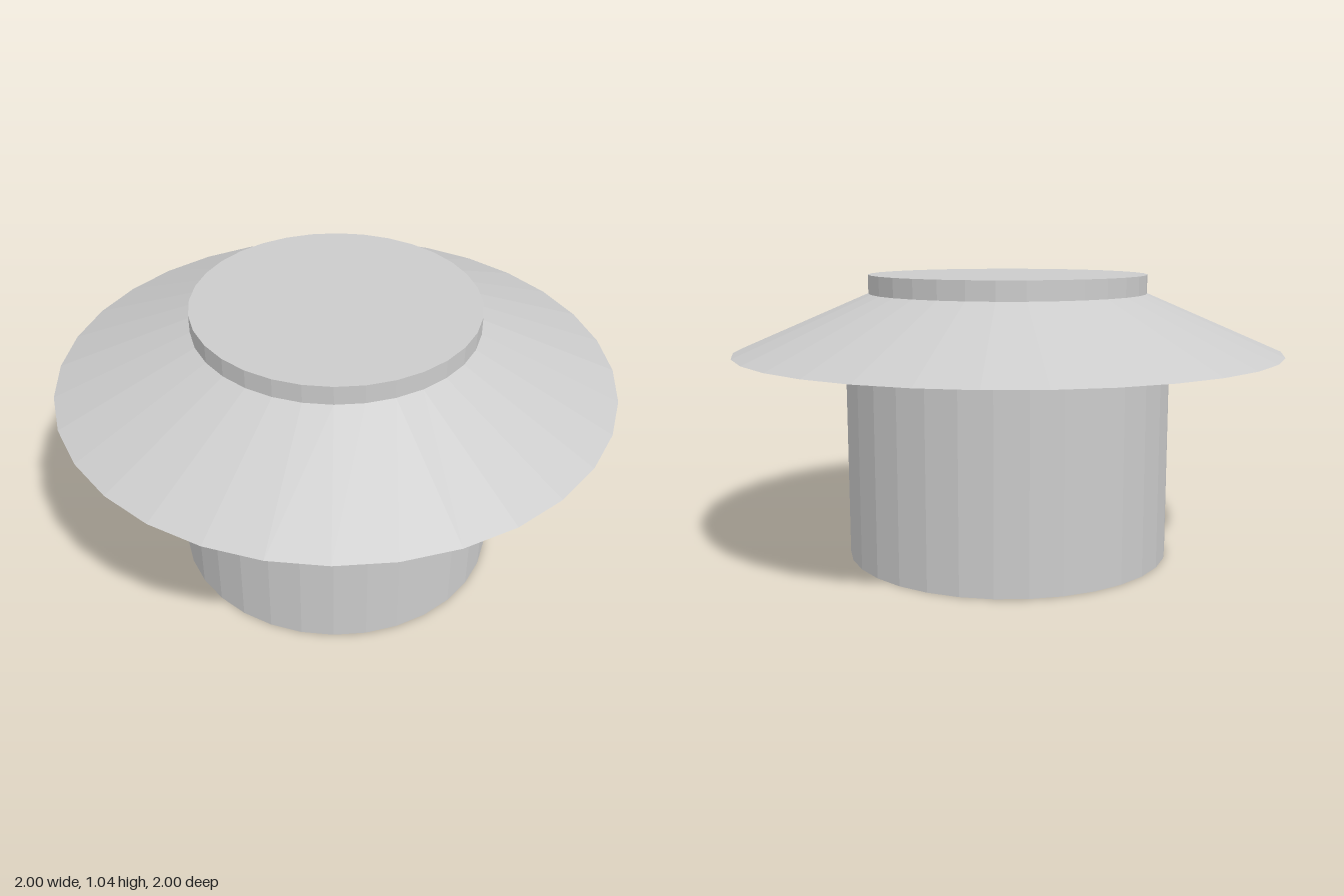
import * as THREE from 'three';

const SIDES = 32;

export function createModel() {
  const group = new THREE.Group();
  const material = new THREE.MeshStandardMaterial({ color: 0xcccccc, flatShading: true });

  // Closed round section between two heights
  function addSection(name, bottomRadius, topRadius, bottomY, topY) {
    const height = topY - bottomY;
    const mesh = new THREE.Mesh(
      new THREE.CylinderGeometry(topRadius, bottomRadius, height, SIDES),
      material
    );
    mesh.name = name;
    mesh.position.y = bottomY + height / 2;
    group.add(mesh);
  }

  addSection('body', 0.597, 0.597, 0, 0.757);
  addSection('slopedBrim', 1, 0.51, 0.757, 0.968);
  addSection('topCap', 0.51, 0.51, 0.968, 1.036);

  return group;
}
